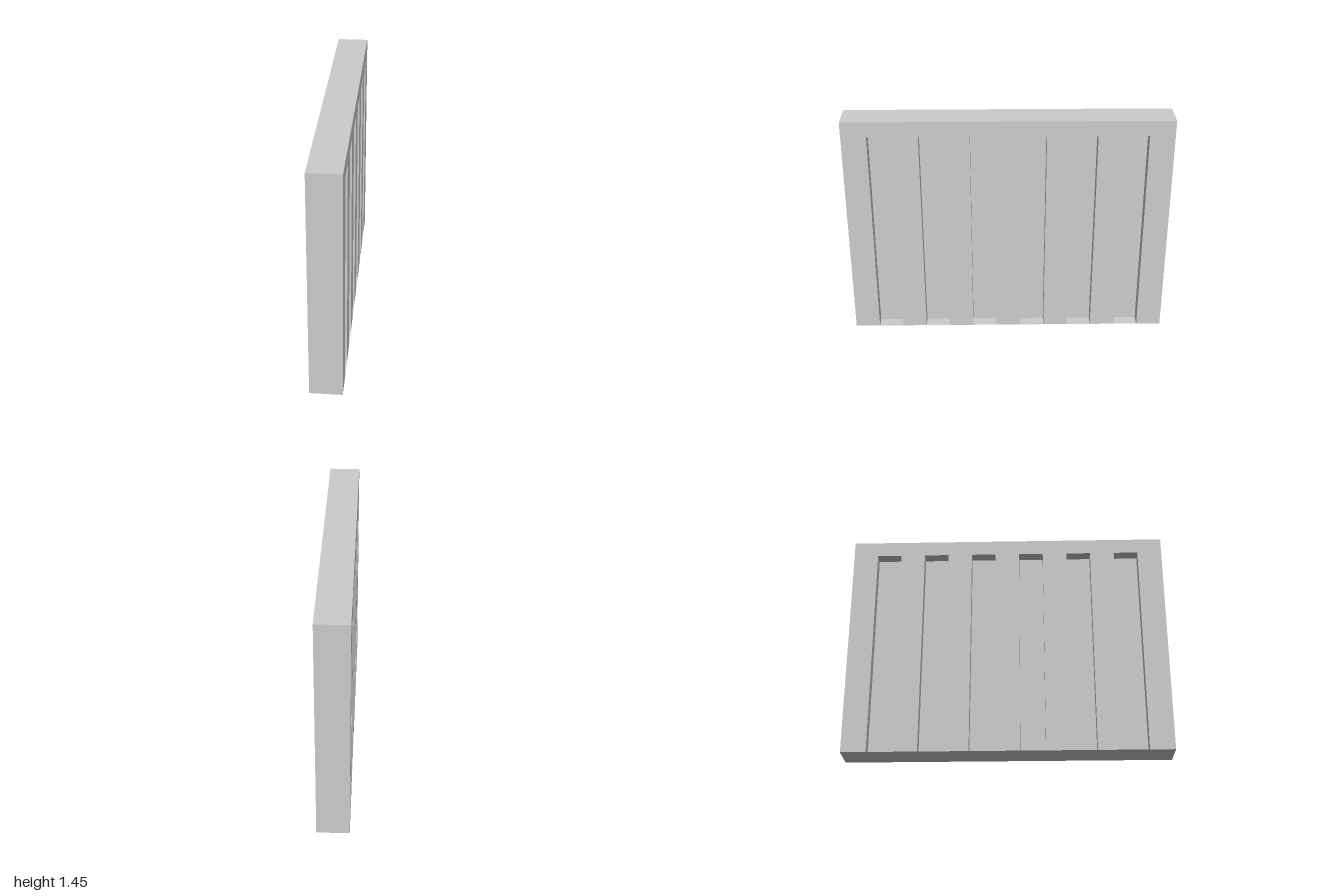
import * as THREE from 'three';

const LENGTH = 2, HEIGHT = 1.445, THICK = 0.197;
const SLOTS = 6, SLOT_TOP = 1.348, SLOT_DEPTH = 0.077;
const BAY = LENGTH / (2 * SLOTS + 1); // slots and pillars share one width
const CORE = THICK - 2 * SLOT_DEPTH;

export function createModel() {
  const group = new THREE.Group();
  const material = new THREE.MeshStandardMaterial({ color: 0xcccccc, flatShading: true });
  const thin = new THREE.MeshStandardMaterial({ color: 0xcccccc, flatShading: true, side: THREE.DoubleSide });

  // Solid web between the two rows of recesses
  const core = new THREE.Mesh(new THREE.BoxGeometry(CORE, HEIGHT, LENGTH), material);
  core.name = 'wallCore';
  core.position.y = HEIGHT / 2;
  group.add(core);

  // Comb outline: top rail with pillars hanging down between the slots
  const comb = new THREE.Shape();
  comb.moveTo(-LENGTH / 2, 0);
  for (let i = 0; i < SLOTS; i++) {
    const a = -LENGTH / 2 + (2 * i + 1) * BAY, b = a + BAY;
    comb.lineTo(a, 0);
    comb.lineTo(a, SLOT_TOP);
    comb.lineTo(b, SLOT_TOP);
    comb.lineTo(b, 0);
  }
  comb.lineTo(LENGTH / 2, 0);
  comb.lineTo(LENGTH / 2, HEIGHT);
  comb.lineTo(-LENGTH / 2, HEIGHT);
  comb.closePath();
  const frameGeometry = new THREE.ExtrudeGeometry(comb, { depth: SLOT_DEPTH, bevelEnabled: false });
  frameGeometry.rotateY(Math.PI / 2);
  frameGeometry.translate(CORE / 2, 0, 0);

  // Thin sheet closing the foot of one slot
  const floorGeometry = new THREE.PlaneGeometry(SLOT_DEPTH, BAY);
  floorGeometry.rotateX(-Math.PI / 2);

  // The same pillared face on both sides
  for (const name of ['leftFace', 'rightFace']) {
    const face = new THREE.Group();
    face.name = name;
    const frame = new THREE.Mesh(frameGeometry, material);
    frame.name = 'pillarFrame';
    face.add(frame);
    for (let i = 0; i < SLOTS; i++) {
      const floor = new THREE.Mesh(floorGeometry, thin);
      floor.name = 'slotFloor';
      floor.position.set(CORE / 2 + SLOT_DEPTH / 2, 0, -LENGTH / 2 + (2 * i + 1.5) * BAY);
      face.add(floor);
    }
    if (name === 'rightFace') face.rotation.y = Math.PI;
    group.add(face);
  }
  return group;
}
